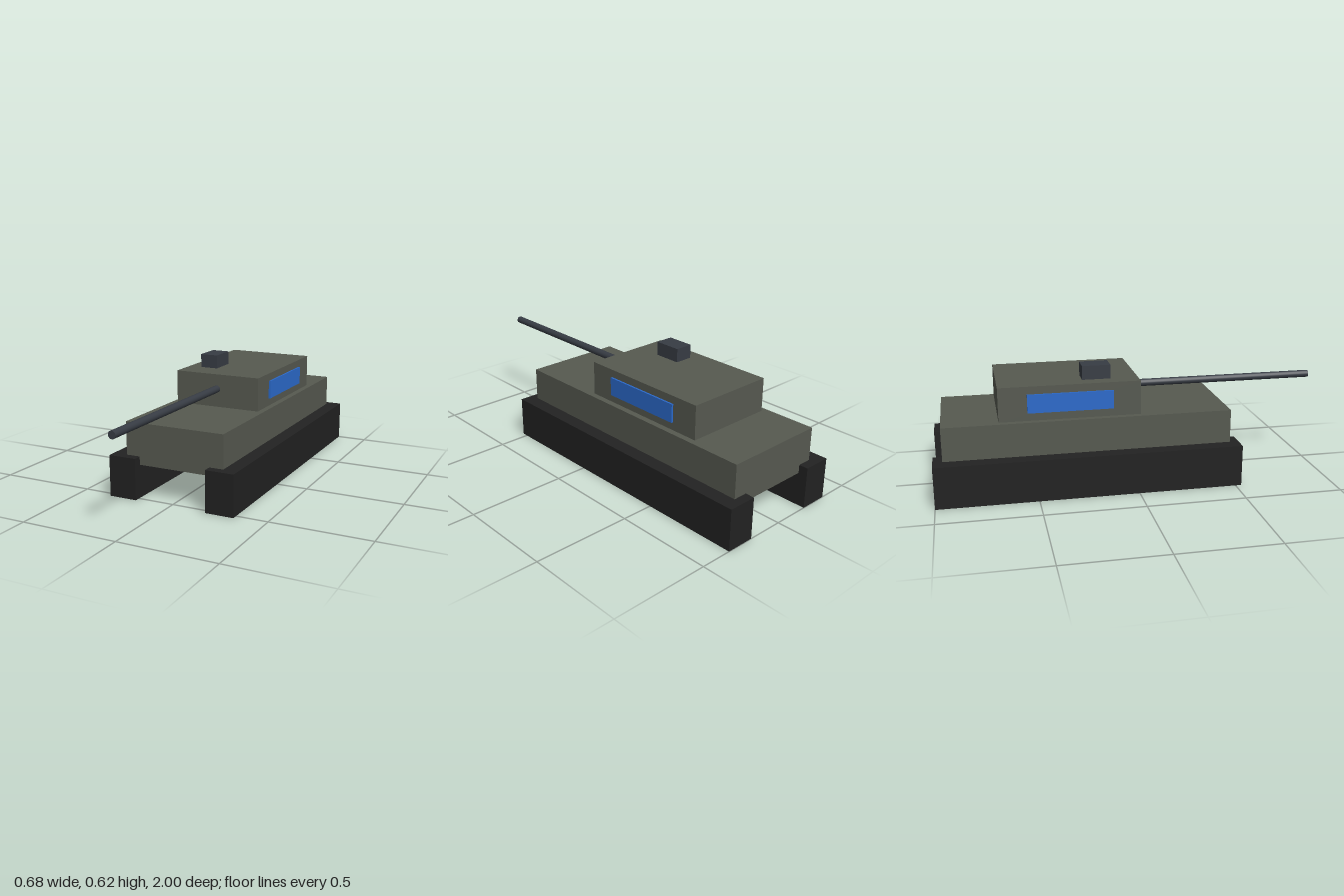
import * as THREE from 'three';

const mat = (name, color) => {
  const m = new THREE.MeshStandardMaterial({ color });
  m.name = name;
  return m;
};

export function createModel() {
  const olive = mat('olive armour', 0x565950);
  const black = mat('track black', 0x222222);
  const steel = mat('gun steel', 0x373c44);
  const blue = mat('blue marking', 0x2b6acb);
  const model = new THREE.Group();
  model.name = 'tank';

  // Box given by its extents on each axis
  const box = (name, material, [x0, x1], [y0, y1], [z0, z1]) => {
    const mesh = new THREE.Mesh(new THREE.BoxGeometry(x1 - x0, y1 - y0, z1 - z0), material);
    mesh.position.set((x0 + x1) / 2, (y0 + y1) / 2, (z0 + z1) / 2);
    mesh.name = name;
    model.add(mesh);
  };

  // Body
  box('hull', olive, [-0.264, 0.264], [0.17, 0.382], [-0.953, 0.485]);
  box('turret', olive, [-0.233, 0.233], [0.382, 0.554], [-0.677, 0.025]);
  box('hatch', steel, [-0.164, -0.07], [0.554, 0.624], [-0.257, -0.115]);

  // Tracks and side panels, mirrored
  for (const [side, s] of [['left', 1], ['right', -1]]) {
    const span = (a, b) => (s > 0 ? [a, b] : [-b, -a]);
    box(side + 'Track', black, span(0.191, 0.338), [0, 0.212], [-1, 0.53]);
    box(side + 'Panel', blue, span(0.2335, 0.243), [0.422, 0.515], [-0.537, -0.113]);
  }

  // Gun barrel
  const barrel = new THREE.Mesh(new THREE.CylinderGeometry(0.019, 0.019, 0.98, 16), steel);
  barrel.rotation.x = Math.PI / 2;
  barrel.position.set(0, 0.477, 0.51);
  barrel.name = 'barrel';
  model.add(barrel);

  return model;
}
